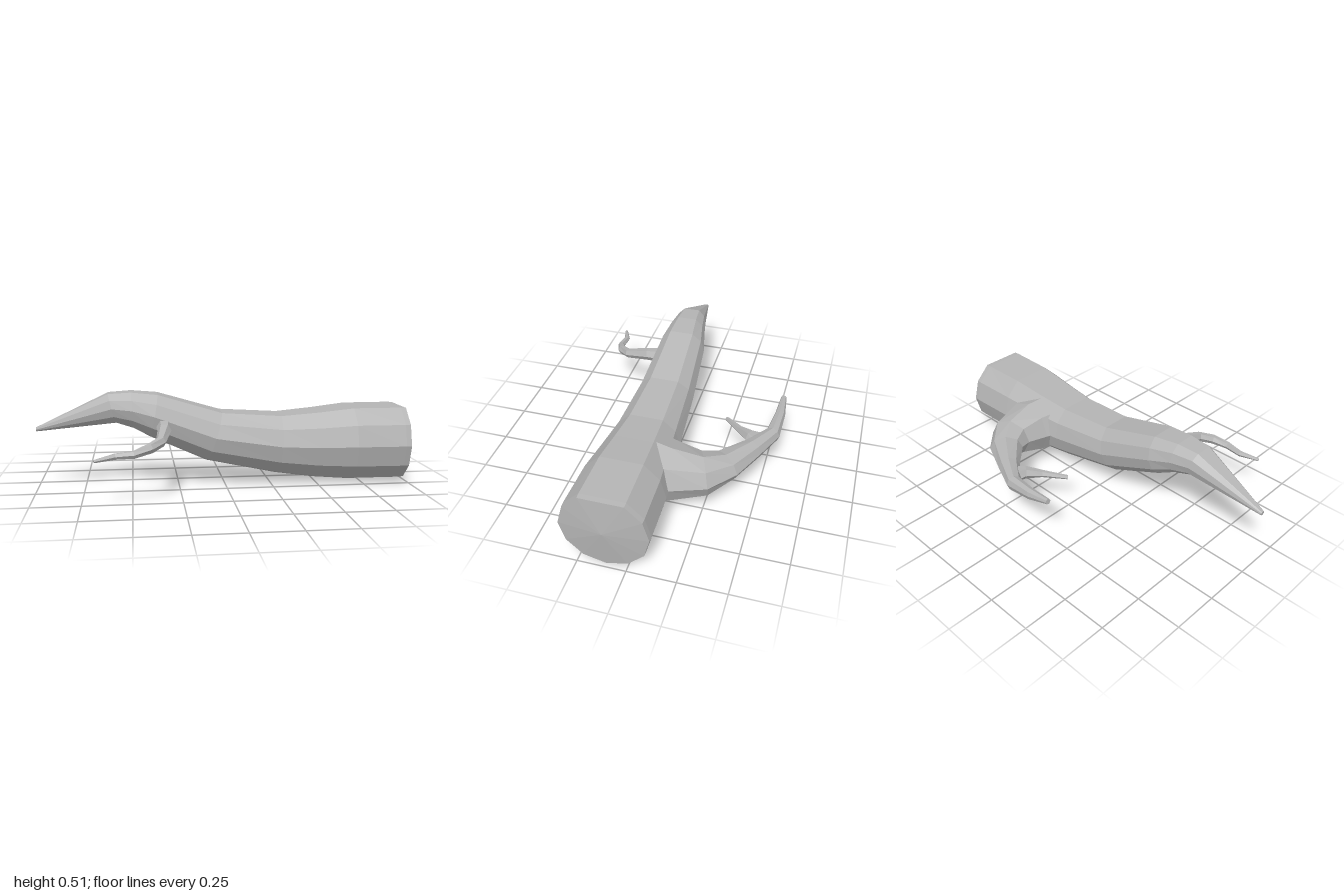
import * as THREE from 'three';

const V = (x, y, z) => new THREE.Vector3(x, y, z);

// Flat-faced skin over a list of rings, closed by a fan at each end
function loft(rings, startTip, endTip) {
  const pos = [];
  const tri = (...pts) => pts.forEach(p => pos.push(p.x, p.y, p.z));
  const n = rings[0].length, last = rings[rings.length - 1];
  for (let j = 0; j < n; j++) {
    const k = (j + 1) % n;
    for (let i = 0; i < rings.length - 1; i++) {
      const a = rings[i][j], b = rings[i][k], c = rings[i + 1][k], d = rings[i + 1][j];
      tri(a, b, c);
      tri(a, c, d);
    }
    tri(startTip, rings[0][k], rings[0][j]);
    tri(endTip, last[j], last[k]);
  }
  const geo = new THREE.BufferGeometry();
  geo.setAttribute('position', new THREE.Float32BufferAttribute(pos, 3));
  geo.computeVertexNormals();
  return geo;
}

// Branch through points [x, y, z, half width, half height]
function branch(path, sides) {
  const pts = path.map(p => V(p[0], p[1], p[2]));
  const rings = pts.map((p, i) => {
    const t = pts[Math.min(i + 1, pts.length - 1)].clone().sub(pts[Math.max(i - 1, 0)]).normalize();
    const side = V(0, 1, 0).cross(t).normalize();
    const up = t.clone().cross(side);
    const w = path[i][3], h = path[i][4] ?? w;
    return Array.from({ length: sides }, (_, j) => {
      const a = j / sides * Math.PI * 2;
      return p.clone().addScaledVector(side, Math.cos(a) * w).addScaledVector(up, Math.sin(a) * h);
    });
  });
  return loft(rings, pts[0], pts[pts.length - 1]);
}

// Trunk ring: twelve-sided with the topmost corner cut off flat
function trunkRing([topX, topY, botX, botY, z, w]) {
  const up = V(topX - botX, topY - botY, 0).divideScalar(1.866);
  const c = V(botX, botY, 0).add(up);
  return Array.from({ length: 11 }, (_, j) => {
    const a = (j + 1) * Math.PI / 6;
    return c.clone().addScaledVector(up, Math.cos(a)).add(V(0, 0, z + Math.sin(a) * w));
  });
}

export function createModel() {
  const model = new THREE.Group();
  const bark = new THREE.MeshStandardMaterial({ color: 0xb4b4b4 });
  bark.name = 'greyBark';
  const add = (name, geo) => {
    const mesh = new THREE.Mesh(geo, bark);
    mesh.name = name;
    model.add(mesh);
  };

  // Trunk from the pointed tip to the sawn end: top x, y, bottom x, y, centre z, half width
  const trunk = [
    [-1, 0.328, -0.998, 0.307, 0.11, 0.013],
    [-0.62, 0.505, -0.58, 0.345, 0.11, 0.09],
    [-0.50, 0.512, -0.49, 0.315, 0.108, 0.108],
    [-0.36, 0.498, -0.40, 0.265, 0.104, 0.132],
    [-0.02, 0.398, -0.10, 0.13, 0.108, 0.157],
    [0.30, 0.378, 0.28, 0.05, 0.11, 0.18],
    [0.50, 0.395, 0.49, 0.02, 0.11, 0.203],
    [0.69, 0.416, 0.69, 0.003, 0.11, 0.223],
    [0.95, 0.416, 0.95, 0.002, 0.11, 0.229],
    [0.978, 0.414, 0.978, 0.004, 0.11, 0.227],
  ];
  add('trunk', loft(trunk.map(trunkRing), V(-1, 0.317, 0.11), V(1, 0.225, 0.11)));

  // Thin crooked branch at the front
  add('frontBranch', branch([
    [-0.33, 0.34, 0.16, 0.045],
    [-0.332, 0.333, 0.30, 0.036],
    [-0.355, 0.30, 0.435, 0.027],
    [-0.41, 0.28, 0.495, 0.026],
    [-0.49, 0.258, 0.53, 0.02],
    [-0.58, 0.25, 0.523, 0.016],
    [-0.68, 0.237, 0.563, 0.008],
  ], 6));

  // Thick branch at the back, sweeping towards the tip
  add('backBranch', branch([
    [0.47, 0.225, 0.06, 0.17, 0.165],
    [0.495, 0.225, -0.09, 0.158, 0.15],
    [0.475, 0.232, -0.25, 0.12, 0.108],
    [0.40, 0.245, -0.345, 0.092, 0.07],
    [0.25, 0.25, -0.45, 0.058, 0.055],
    [0.11, 0.256, -0.532, 0.04, 0.043],
    [-0.04, 0.275, -0.545, 0.028, 0.032],
    [-0.17, 0.298, -0.543, 0.015, 0.015],
  ], 8));

  // Twig on the inner side of the back branch
  add('twig', branch([
    [0.18, 0.25, -0.49, 0.06, 0.04],
    [0.15, 0.245, -0.42, 0.038, 0.034],
    [0.09, 0.23, -0.352, 0.02],
    [-0.01, 0.207, -0.258, 0.012],
  ], 6));

  return model;
}
